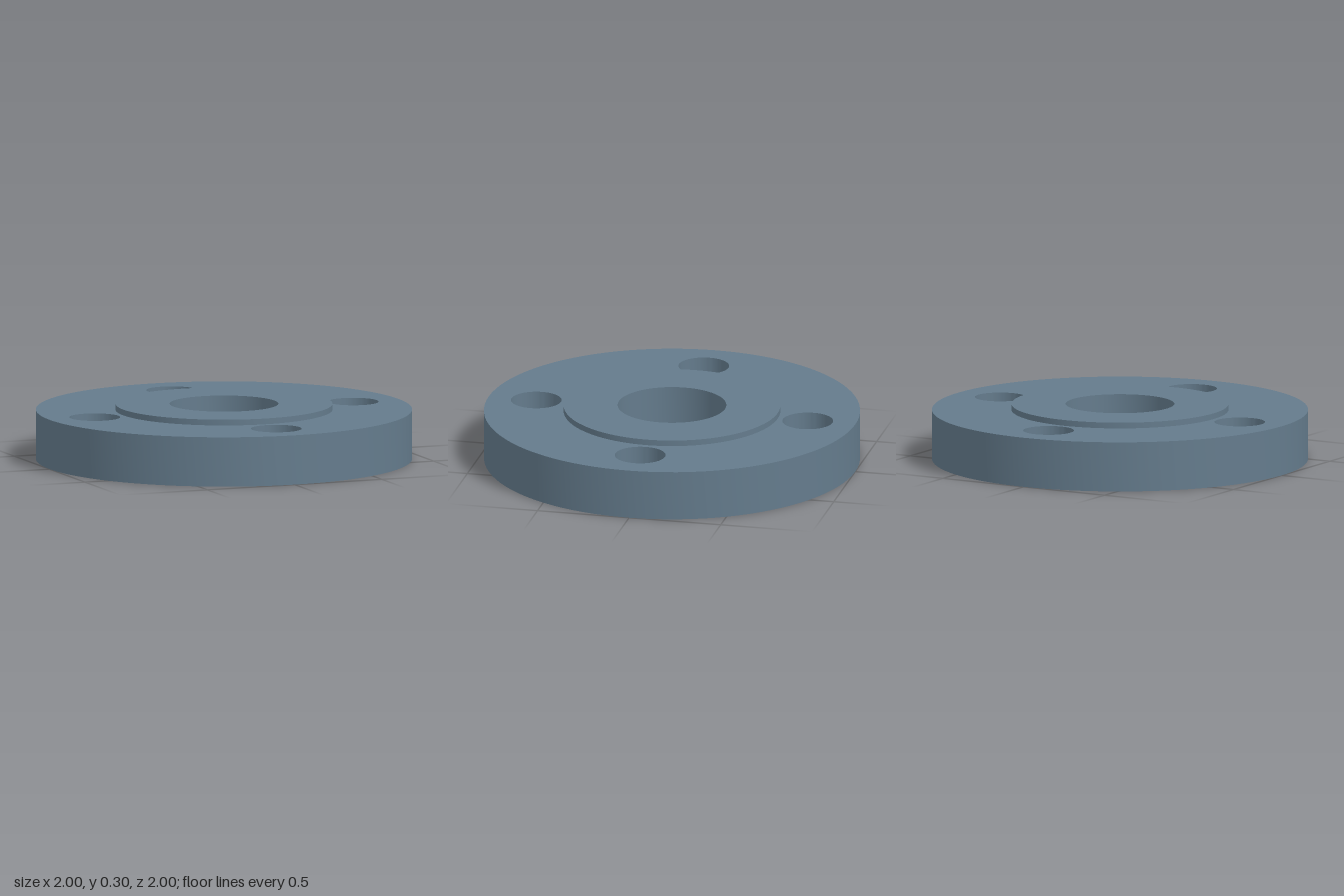
import * as THREE from 'three';
import { toCreasedNormals } from 'three/addons/utils/BufferGeometryUtils.js';

const OUTER = 1, FACE = 0.577, BORE = 0.289;
const BOLT = 0.135, BOLT_CIRCLE = 0.741;
const THICK = 0.265, HEIGHT = 0.296, SEGMENTS = 96;

export function createModel() {
  const group = new THREE.Group();
  const material = new THREE.MeshStandardMaterial({ color: 0x647b8c });

  const add = (name, geometry) => {
    const mesh = new THREE.Mesh(geometry, material);
    mesh.name = name;
    group.add(mesh);
    return mesh;
  };

  // Revolved surface, with sharp edges between its sections
  const revolve = (points) => toCreasedNormals(
    new THREE.LatheGeometry(points.map(([r, y]) => new THREE.Vector2(r, y)), SEGMENTS), 0.6);

  // Centres of the four bolt holes
  const bolts = [0, 1, 2, 3].map((i) => {
    const a = i * Math.PI / 2;
    return [BOLT_CIRCLE * Math.cos(a), BOLT_CIRCLE * Math.sin(a)];
  });

  // Flat disc with a central opening and the bolt holes
  const plate = (opening) => {
    const shape = new THREE.Shape().absarc(0, 0, OUTER, 0, Math.PI * 2);
    for (const [x, y, r] of [[0, 0, opening], ...bolts.map((b) => [...b, BOLT])]) {
      shape.holes.push(new THREE.Path().absarc(x, y, r, 0, Math.PI * 2, true));
    }
    return new THREE.ShapeGeometry(shape, SEGMENTS / 2);
  };

  // Flange body: underside, rim and upper surface
  add('flangeUnderside', plate(BORE).rotateX(Math.PI / 2));
  add('flangeRim', revolve([[OUTER, 0], [OUTER, THICK]]));
  add('flangeTop', plate(FACE).rotateX(-Math.PI / 2).translate(0, THICK, 0));

  // Raised sealing face, continuing down into the central bore
  add('raisedFaceAndBore', revolve([[FACE, THICK], [FACE, HEIGHT], [BORE, HEIGHT], [BORE, 0]]));

  // Bolt hole walls
  const wall = revolve([[BOLT, THICK], [BOLT, 0]]);
  bolts.forEach(([x, z], i) => add(`boltHole${i + 1}`, wall).position.set(x, 0, z));

  return group;
}
